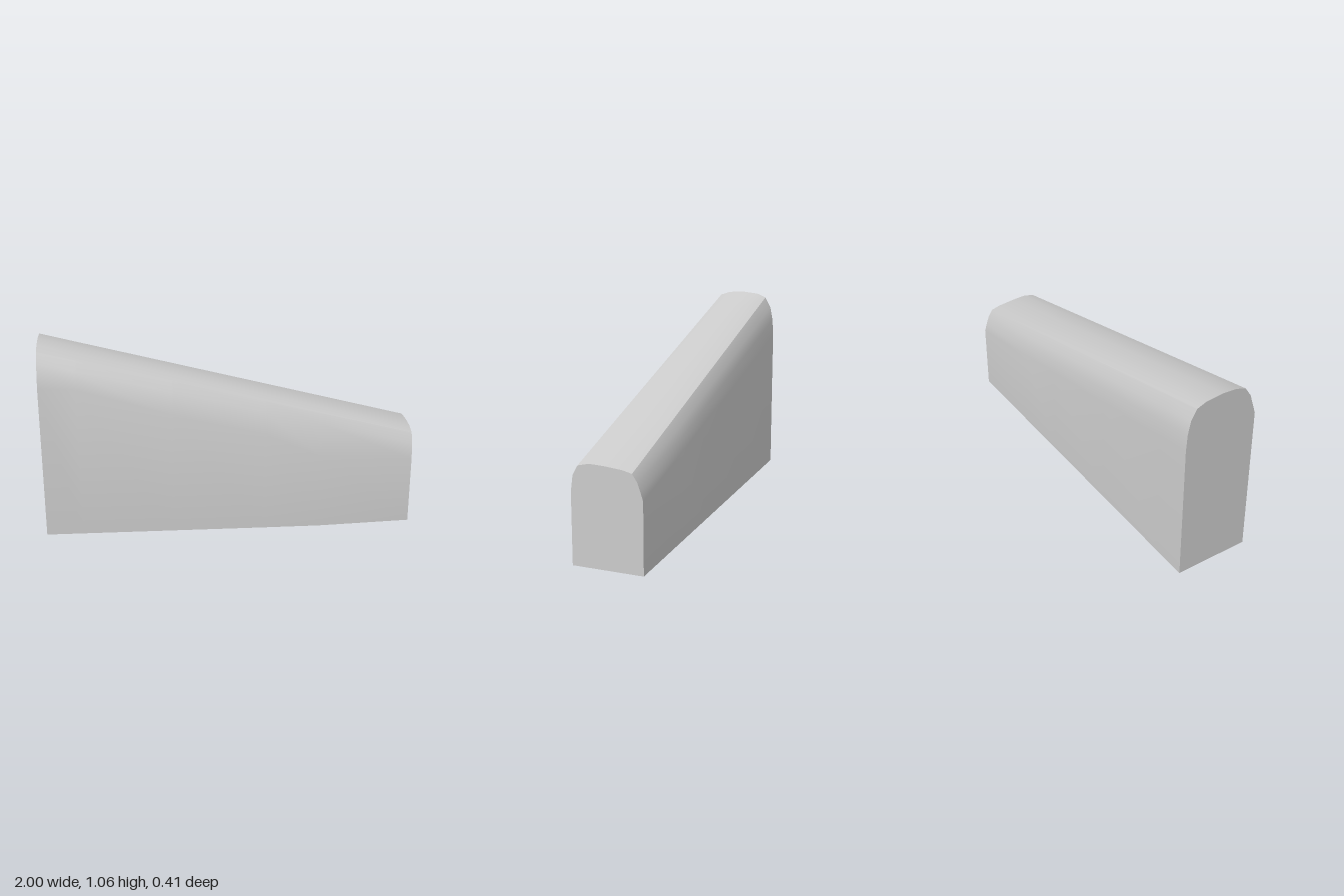
import * as THREE from 'three';
import { toCreasedNormals } from 'three/addons/utils/BufferGeometryUtils.js';

// Rounded crown as [z, y], front to back, at the tall and the low end
const tallCrown = [[0.17, 0.98], [0.135, 1.035], [0.08, 1.055], [0, 1.063], [-0.1, 1.055],
  [-0.152, 1.035], [-0.185, 0.975], [-0.2, 0.9], [-0.206, 0.8]];
const lowCrown = [[0.163, 0.465], [0.135, 0.518], [0.075, 0.533], [0, 0.531], [-0.1, 0.522],
  [-0.15, 0.51], [-0.176, 0.47], [-0.192, 0.425], [-0.206, 0.38]];

// Front wall along the length: [x, z, height of its shoulder]
const stations = [[-1, 0.207, 0.86], [-0.8, 0.207, 0.85], [-0.3, 0.207, 0.69],
  [0.2, 0.207, 0.56], [0.5, 0.205, 0.42], [1, 0.174, 0.38]];

// Cross-section running up the front, over the crown and down the back
function section([x, z, shoulder]) {
  const t = (x + 1) / 2;
  const crown = tallCrown.map(([cz, cy], i) => [
    THREE.MathUtils.lerp(cz, lowCrown[i][0], t),
    THREE.MathUtils.lerp(cy, lowCrown[i][1], t),
  ]);
  return [[z, 0], [z, shoulder], ...crown, [-0.206, 0]].map(([pz, py]) => [x, py, pz]);
}

function loft(rings) {
  const n = rings[0].length;
  const index = [];
  for (let i = 0; i < rings.length - 1; i++) {
    for (let j = 0; j < n; j++) {
      const a = i * n + j, c = i * n + (j + 1) % n;
      index.push(a, a + n, c, a + n, c + n, c);
    }
  }
  // Flat end caps
  const last = (rings.length - 1) * n;
  for (let j = 1; j < n - 1; j++) {
    index.push(0, j, j + 1, last, last + j + 1, last + j);
  }
  const geometry = new THREE.BufferGeometry();
  geometry.setAttribute('position', new THREE.Float32BufferAttribute(rings.flat(2), 3));
  geometry.setIndex(index);
  return toCreasedNormals(geometry, THREE.MathUtils.degToRad(32));
}

export function createModel() {
  const group = new THREE.Group();
  group.name = 'taperedBlock';
  const body = new THREE.Mesh(
    loft(stations.map(section)),
    new THREE.MeshStandardMaterial({ color: 0xcccccc }),
  );
  body.name = 'roundedWedgeBody';
  group.add(body);
  return group;
}
